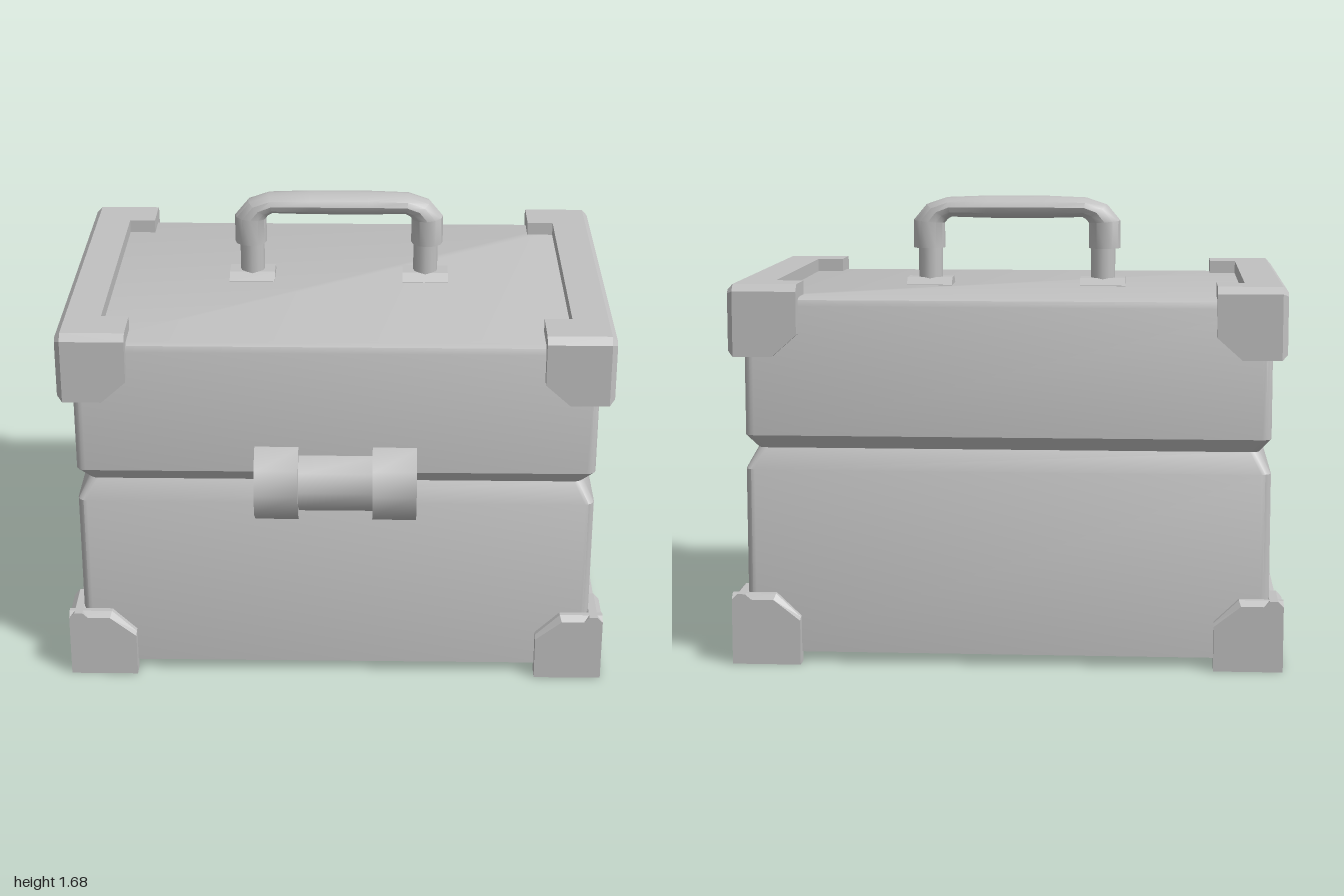
import * as THREE from 'three';
import { toCreasedNormals } from 'three/addons/utils/BufferGeometryUtils.js';

const grey = new THREE.MeshStandardMaterial({ color: 0xc0c0c0, side: THREE.DoubleSide });
grey.name = 'plain grey';

const ZC = -0.0375; // depth centre of the case
const W = 0.95, D = 0.65; // half width and half depth of the body
const TD = 0.69; // half depth of the corner guards

function add(parent, name, geometry) {
  const mesh = new THREE.Mesh(geometry, grey);
  mesh.name = name;
  parent.add(mesh);
  return mesh;
}

const polygon = (pts) => new THREE.Shape(pts.map(([a, b]) => new THREE.Vector2(a, b)));

// Prism of a (z, y) profile running along x from x0 to x1
function prismX(pts, x0, x1) {
  const g = new THREE.ExtrudeGeometry(polygon(pts.map(([z, y]) => [-z, y])), { depth: x1 - x0, bevelEnabled: false });
  return g.rotateY(Math.PI / 2).translate(x0, 0, 0);
}

// Plate with one small bevel all round its edges
function bevelPlate(pts, depth) {
  return new THREE.ExtrudeGeometry(polygon(pts), {
    depth, bevelEnabled: true, bevelSegments: 1, bevelSize: 0.02, bevelThickness: 0.02, bevelOffset: -0.02,
  });
}

// Flatten everything outside a box onto its sides, which removes bevels there
function clampTo(g, min, max) {
  const p = g.attributes.position, v = new THREE.Vector3();
  for (let i = 0; i < p.count; i++) {
    v.fromBufferAttribute(p, i).clamp(min, max);
    p.setXYZ(i, v.x, v.y, v.z);
  }
  g.computeVertexNormals();
  return g;
}

// Skin over rings of equal point count, with optional end caps
function loft(rings, capStart, capEnd) {
  const n = rings[0].length, pos = rings.flat(2), idx = [];
  for (let r = 0; r < rings.length - 1; r++) {
    for (let i = 0; i < n; i++) {
      const a = r * n + i, b = r * n + (i + 1) % n;
      idx.push(a, b, a + n, b, b + n, a + n);
    }
  }
  const last = (rings.length - 1) * n;
  for (let i = 1; i < n - 1; i++) {
    if (capStart) idx.push(0, i + 1, i);
    if (capEnd) idx.push(last, last + i, last + i + 1);
  }
  const g = new THREE.BufferGeometry();
  g.setAttribute('position', new THREE.Float32BufferAttribute(pos, 3));
  g.setIndex(idx);
  return toCreasedNormals(g, 0.6);
}

// Rounded rectangle ring at height y
function bodyRing(y, inset) {
  const ring = [], r = 0.035, steps = 4;
  const centres = [[1, 1], [1, -1], [-1, -1], [-1, 1]];
  centres.forEach(([sx, sz], c) => {
    for (let i = 0; i <= steps; i++) {
      const a = Math.PI / 2 * (1 - c - i / steps) - 0;
      ring.push([
        sx * (W - inset - r) + r * Math.cos(a), y,
        sz * (D - inset - r) + r * Math.sin(a),
      ]);
    }
  });
  return ring.reverse();
}

// Side outline of a guard: deep at both corners, shallow between them
const sideOutline = (edge, deep, shallow, cut, h) => [
  [-h, deep], [-0.505, deep], [-0.395, shallow], [0.395, shallow], [0.505, deep], [h, deep],
  [h, edge - cut], [h - Math.abs(cut), edge], [-h + Math.abs(cut), edge], [-h, edge - cut],
];

// Guards for one end of the case
function buildEnd() {
  const end = new THREE.Group();
  const turn = (g) => g.rotateY(Math.PI / 2).translate(0.95, 0, 0);
  add(end, 'upperSideGuard', turn(bevelPlate(sideOutline(1.39, 1.13, 1.225, 0.025, TD), 0.03)));
  const lower = turn(bevelPlate([
    [-TD - 0.02, -0.02], [TD + 0.02, -0.02], [TD + 0.02, 0.26], [0.505, 0.26],
    [0.395, 0.17], [-0.395, 0.17], [-0.505, 0.26], [-TD - 0.02, 0.26],
  ], 0.03));
  add(end, 'lowerSideGuard', clampTo(lower, new THREE.Vector3(-2, 0, -TD), new THREE.Vector3(2, 2, TD)));
  add(end, 'topGuardStrip', new THREE.BoxGeometry(0.13, 0.06, 1.04).translate(0.915, 1.36, 0));

  for (const s of [1, -1]) {
    const corner = new THREE.Group();
    corner.name = s > 0 ? 'frontCornerGuard' : 'backCornerGuard';
    corner.scale.z = s;
    // L-shaped wrap over the top edge
    add(corner, 'upperCornerWrap', prismX([
      [0.505, 1.33], [0.64, 1.33], [0.64, 1.21], [TD, 1.21], [TD, 1.365], [TD - 0.025, 1.39], [0.505, 1.39],
    ], 0.75, 0.98));
    // clipped lower tip of the wrap
    add(corner, 'upperCornerTip', new THREE.ExtrudeGeometry(
      polygon([[0.75, 1.21], [0.84, 1.13], [0.98, 1.13], [0.98, 1.21]]),
      { depth: 0.05, bevelEnabled: false }).translate(0, 0, 0.64));
    const foot = bevelPlate([[0.73, -0.02], [1.02, -0.02], [1.02, 0.26], [0.84, 0.26], [0.73, 0.174]], 0.02)
      .translate(0, 0, 0.65);
    add(corner, 'lowerCornerGuard', clampTo(foot, new THREE.Vector3(0.75, 0, -2), new THREE.Vector3(1, 2, 2)));
    end.add(corner);
  }
  return end;
}

// Half-round block of the clasp, flat against the case
function claspBlock(r, z, x0, x1) {
  const pts = [[z, -r]];
  for (const deg of [-72, -36, 0, 36, 72]) {
    const a = THREE.MathUtils.degToRad(deg);
    pts.push([z + r * Math.cos(a), r * Math.sin(a)]);
  }
  pts.push([z, r]);
  return toCreasedNormals(prismX(pts, x0, x1).translate(0, 0.796, 0), 0.7);
}

export function createModel() {
  const model = new THREE.Group();
  model.name = 'toolCase';

  const box = new THREE.Group();
  box.name = 'caseBox';
  box.position.z = ZC;
  model.add(box);

  // Hollow base, open underneath, and the lid above the groove
  add(box, 'base', loft([[0.04, 0], [0.715, 0], [0.79, 0.04]].map((l) => bodyRing(...l)), false, false));
  add(box, 'lid', loft([[0.79, 0.04], [0.84, 0], [1.31, 0], [1.331, 0.009], [1.34, 0.03]]
    .map((l) => bodyRing(...l)), false, true));

  // Guards on both ends
  for (const s of [1, -1]) {
    const end = buildEnd();
    end.name = s > 0 ? 'leftEndGuards' : 'rightEndGuards';
    end.scale.x = s;
    box.add(end);
  }

  // Clasp
  const clasp = new THREE.Group();
  clasp.name = 'clasp';
  add(clasp, 'claspBar', claspBlock(0.115, 0.585, -0.14, 0.14));
  add(clasp, 'claspLeft', claspBlock(0.15, 0.58, 0.135, 0.295));
  add(clasp, 'claspRight', claspBlock(0.15, 0.58, -0.295, -0.135));
  model.add(clasp);

  // Handle: grip skinned over ellipses set by outer and inner points
  const handle = new THREE.Group();
  handle.name = 'handle';
  handle.position.z = -0.08;
  const half = [
    [[0.395, 1.48], [0.275, 1.48]], [[0.395, 1.585], [0.275, 1.575]], [[0.345, 1.645], [0.265, 1.588]],
    [[0.265, 1.672], [0.25, 1.597]], [[0.11, 1.678], [0.11, 1.593]],
  ];
  const mirrored = half.map((s) => s.map(([x, y]) => [-x, y])).reverse();
  const rings = [...half, ...mirrored].map(([o, i]) => {
    const ring = [];
    for (let k = 0; k < 12; k++) {
      const a = k / 12 * Math.PI * 2, c = Math.cos(a) / 2;
      ring.push([(o[0] + i[0]) / 2 + (o[0] - i[0]) * c, (o[1] + i[1]) / 2 + (o[1] - i[1]) * c, -0.062 * Math.sin(a)]);
    }
    return ring;
  });
  add(handle, 'grip', loft(rings, true, true));
  for (const x of [0.33, -0.33]) {
    add(handle, 'handlePost', new THREE.CylinderGeometry(0.046, 0.046, 0.16, 12).translate(x, 1.42, 0));
    add(handle, 'handleFoot', prismX([[-0.073, 1.33], [0.073, 1.33], [0.073, 1.342], [0.04, 1.368], [-0.04, 1.368], [-0.073, 1.342]], x - 0.086, x + 0.086));
  }
  model.add(handle);

  return model;
}
